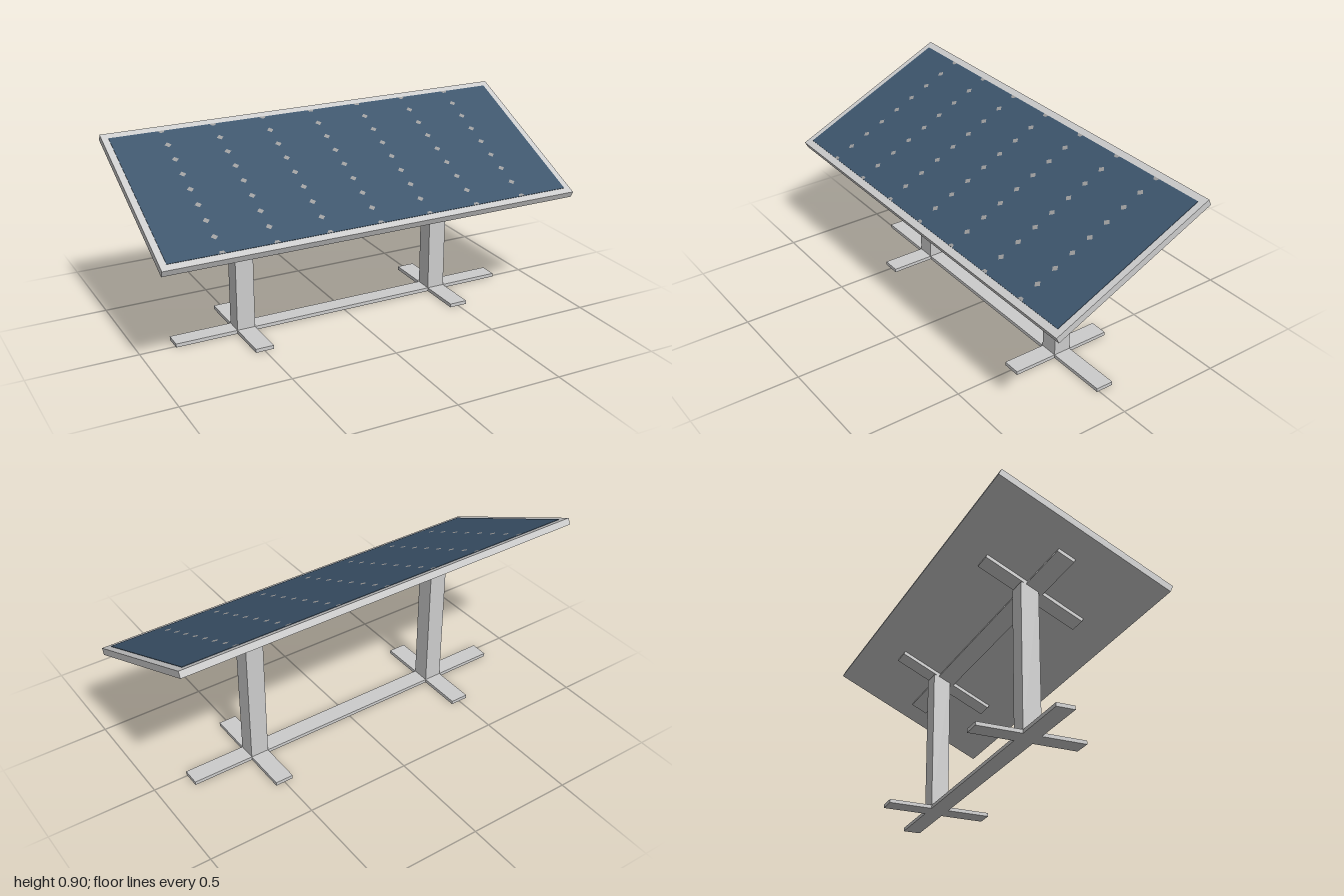
import * as THREE from 'three';
import { mergeGeometries } from 'three/addons/utils/BufferGeometryUtils.js';

export function createModel() {
  const model = new THREE.Group();
  model.name = 'solarPanel';
  const metal = new THREE.MeshStandardMaterial({ color: 0xcccccc });
  metal.name = 'light metal';
  const blue = new THREE.MeshStandardMaterial({ color: 0x3c546b });
  blue.name = 'cell blue';
  const grey = new THREE.MeshStandardMaterial({ color: 0x9c9c9c });
  grey.name = 'gap grey';

  const box = (parent, name, material, w, h, d, x, y, z) => {
    const mesh = new THREE.Mesh(new THREE.BoxGeometry(w, h, d), material);
    mesh.name = name;
    mesh.position.set(x, y, z);
    parent.add(mesh);
    return mesh;
  };

  // Base and posts
  const postZ = -0.032, barW = 0.084, footH = 0.017;
  box(model, 'baseBar', metal, 1.67, footH, barW, 0, footH / 2, postZ);
  for (const side of [-1, 1]) {
    const x = side * 0.5;
    for (const end of [-1, 1]) {
      const len = 0.25 - barW / 2;
      box(model, 'foot', metal, 0.086, footH, len, x, footH / 2, postZ + end * (barW / 2 + len / 2));
    }
    box(model, 'post', metal, 0.086, 0.7 - footH, barW, x, (0.7 + footH) / 2, postZ);
  }

  // Tilted panel with its support rails
  const panel = new THREE.Group();
  panel.name = 'tiltedPanel';
  panel.position.y = 0.707;
  panel.rotation.x = THREE.MathUtils.degToRad(25);
  model.add(panel);
  const thick = 0.031, railH = 0.016;
  const railY = -thick / 2 - railH / 2;
  box(panel, 'frame', metal, 2, thick, 0.835, 0, 0, 0);
  box(panel, 'crossRail', metal, 1.67, railH, barW, 0, railY, 0.003);
  for (const side of [-1, 1]) {
    for (const end of [-1, 1]) {
      const len = 0.25 - barW / 2;
      box(panel, 'tiltRail', metal, 0.086, railH, len, side * 0.5, railY, 0.003 + end * (barW / 2 + len / 2));
    }
  }

  // Blue cell sheet
  const sheetH = 0.002, sheetD = 0.77;
  box(panel, 'cellSheet', blue, 1.94, sheetH, sheetD, 0, thick / 2 + sheetH / 2, 0);

  // Diamond gaps where cell corners meet, halved at the upper and lower edges
  const gaps = [];
  const rows = 8, r = 0.016;
  for (let col = -3; col <= 3; col++) {
    for (let row = 0; row <= rows; row++) {
      const edge = row === 0 || row === rows;
      const start = row === 0 ? Math.PI : 0;
      const gap = new THREE.CircleGeometry(r, edge ? 2 : 4, start, edge ? Math.PI : Math.PI * 2);
      gap.rotateX(-Math.PI / 2);
      gap.translate(col * 0.244, thick / 2 + sheetH + 0.001, (row / rows - 0.5) * sheetD);
      gaps.push(gap);
    }
  }
  const gapMesh = new THREE.Mesh(mergeGeometries(gaps), grey);
  gapMesh.name = 'cellGaps';
  panel.add(gapMesh);

  return model;
}
